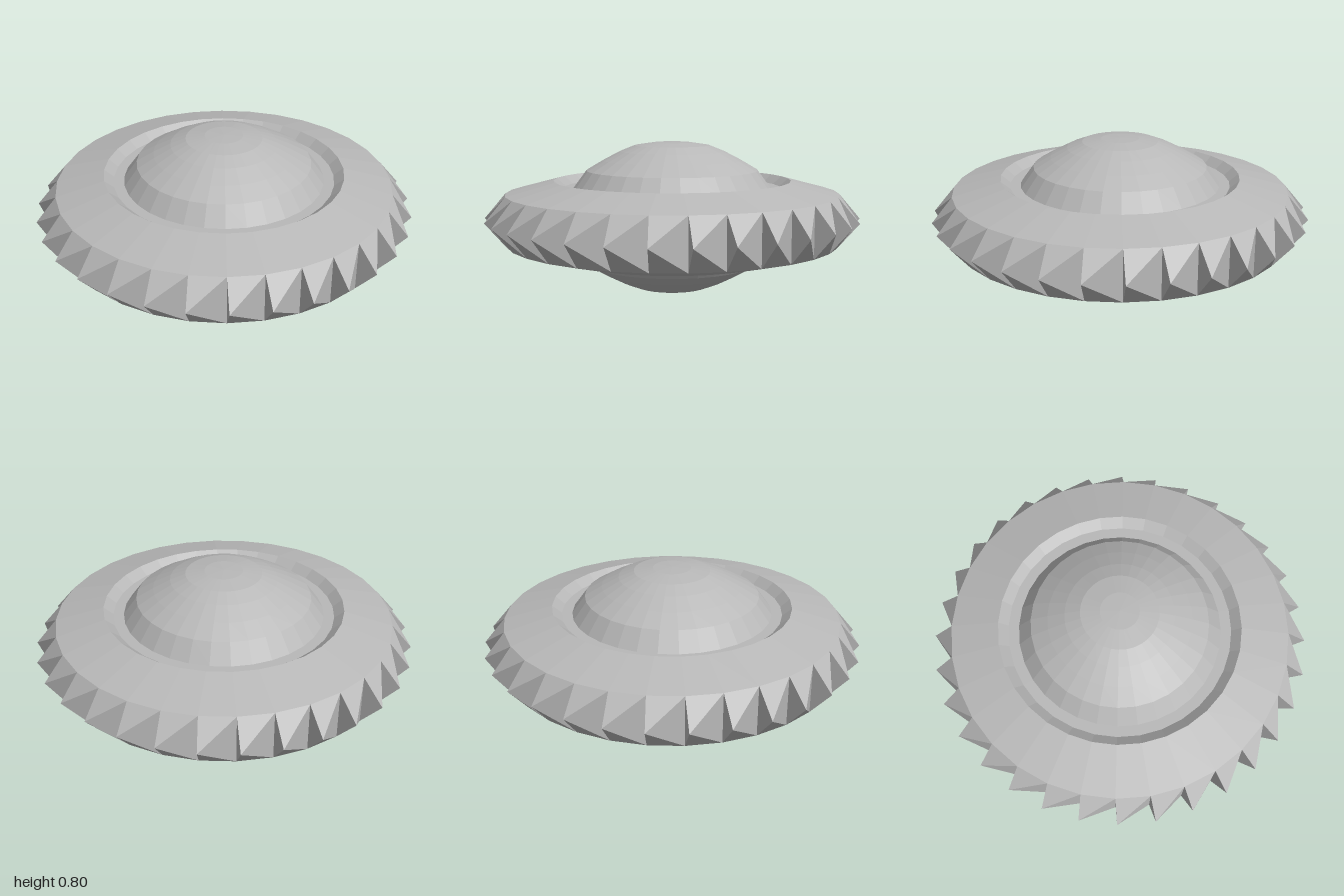
import * as THREE from 'three';

const SIDES = 32;
const MID = 0.4; // height of the plane of symmetry

// Half profiles as [radius, height above the middle plane]
const DOME = [[0.53, 0.155], [0.46, 0.25], [0.37, 0.303], [0.28, 0.35], [0.2, 0.382], [0.1, 0.397], [0, 0.4]];
const RING = [[0.89, 0.13], [0.635, 0.197], [0.585, 0.155], [0.53, 0.155]];

export function createModel() {
  const group = new THREE.Group();
  const grey = new THREE.MeshStandardMaterial({ color: 0xb8b8b8, flatShading: true });
  grey.name = 'grey metal';

  const add = (name, geometry) => {
    const mesh = new THREE.Mesh(geometry, grey);
    mesh.name = name;
    mesh.position.y = MID;
    group.add(mesh);
  };
  // Profiles run from bottom to top so faces point outwards
  const lathe = (pts) => new THREE.LatheGeometry(pts.map(([r, y]) => new THREE.Vector2(r, y)), SIDES);
  const mirrored = (pts) => pts.map(([r, y]) => [r, -y]).reverse();

  add('upperDome', lathe(DOME));
  add('lowerDome', lathe(mirrored(DOME)));
  add('ring', lathe([...mirrored(RING), ...RING]));

  // Saw teeth: four-sided pyramids whose tips lean to one end
  const step = (Math.PI * 2) / SIDES;
  const at = (r, angle, y) => [r * Math.sin(angle), y, r * Math.cos(angle)];
  const corners = [];
  for (let i = 0; i < SIDES; i++) {
    const end = i * step;
    const start = end + step;
    const a = at(0.89, start, 0.13);
    const b = at(0.89, start, -0.13);
    const c = at(0.89, end, 0.13);
    const d = at(0.89, end, -0.13);
    const tip = at(1, end + 0.01, 0);
    corners.push(...a, ...tip, ...b, ...c, ...tip, ...a, ...b, ...tip, ...d, ...c, ...d, ...tip);
  }
  const teeth = new THREE.BufferGeometry();
  teeth.setAttribute('position', new THREE.Float32BufferAttribute(corners, 3));
  teeth.computeVertexNormals();
  add('sawTeeth', teeth);

  return group;
}
